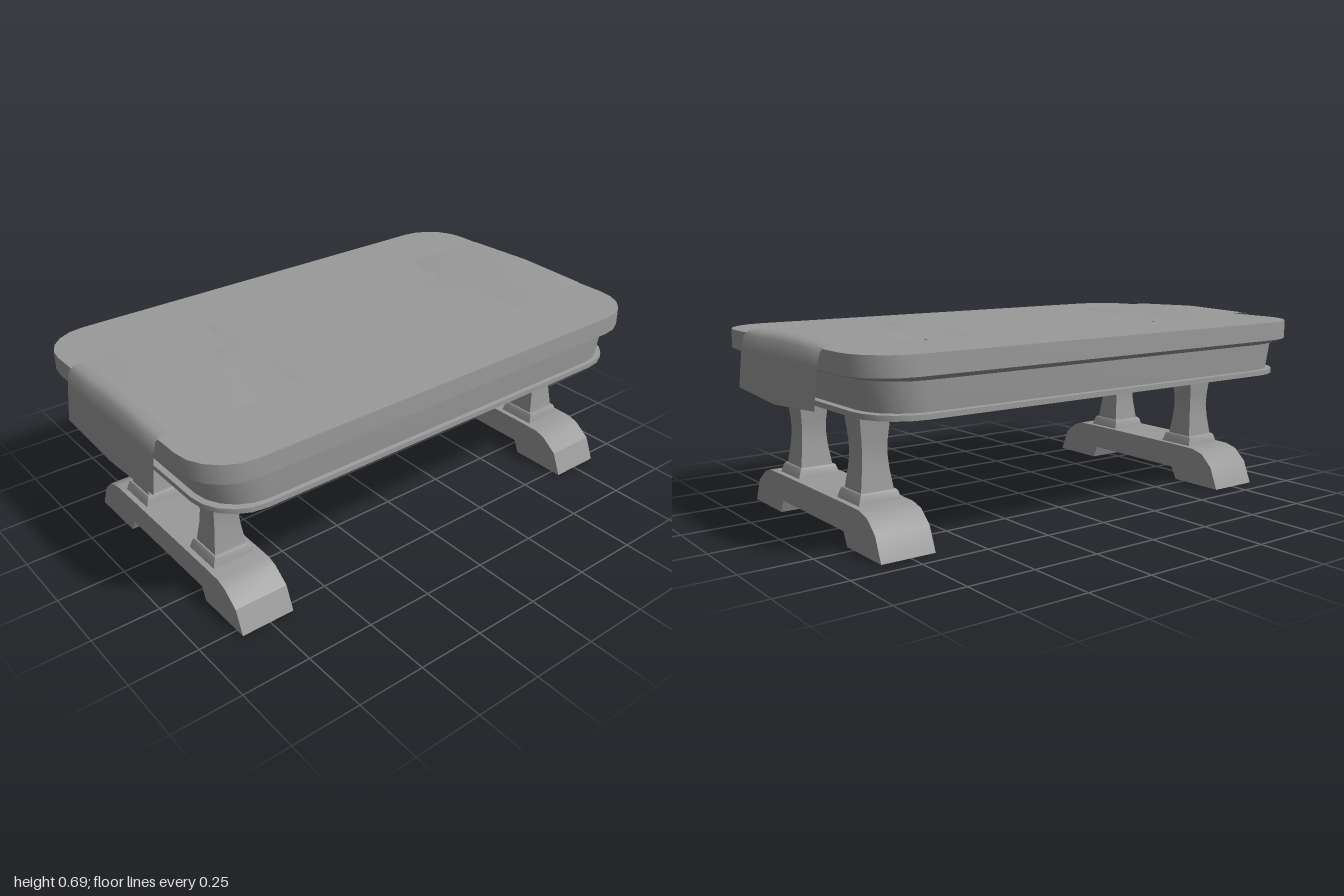
import * as THREE from 'three';
import { toCreasedNormals } from 'three/addons/utils/BufferGeometryUtils.js';

const solid = new THREE.MeshStandardMaterial({ color: 0x9a9a9a });
const thin = new THREE.MeshStandardMaterial({ color: 0x9a9a9a, side: THREE.DoubleSide });

// Grid surface through rows of equally many points
function sheet(rows, crease = 0.5) {
  const n = rows[0].length, index = [];
  for (let i = 0; i < rows.length - 1; i++)
    for (let j = 0; j < n - 1; j++) {
      const a = i * n + j, c = a + n;
      index.push(a, a + 1, c, a + 1, c + 1, c);
    }
  const g = new THREE.BufferGeometry();
  g.setAttribute('position', new THREE.Float32BufferAttribute(rows.flat(2), 3));
  g.setIndex(index);
  return toCreasedNormals(g, crease);
}

// Closed rectangular outline at height y; seg > 0 rounds the corners
function outline(hx, hz, y, seg) {
  const r = seg ? 0.31 * hz : 0, pts = [];
  for (let q = 0; q < 4; q++) {
    const sx = q === 0 || q === 3 ? 1 : -1, sz = q < 2 ? 1 : -1;
    for (let k = 0; k <= seg; k++) {
      const t = (q + (seg ? k / seg : 0)) * Math.PI / 2;
      pts.push([sx * (hx - r) + r * Math.cos(t), y, sz * (hz - r) + r * Math.sin(t)]);
    }
  }
  pts.push(pts[0]);
  return pts;
}

// Rings are [halfX, halfZ, y], listed from the top down
const loft = (rings, seg = 0) => sheet(rings.map(([hx, hz, y]) => outline(hx, hz, y, seg)));

function add(parent, name, geometry, material = solid) {
  const m = new THREE.Mesh(geometry, material);
  m.name = name;
  parent.add(m);
  return m;
}

// Foot with an arched, open underside; profile points are [z, y]
function makeFoot() {
  const foot = new THREE.Group();
  foot.name = 'foot';
  const hw = 0.1;
  const upper = [[0.535, 0], [0.5, 0.085], [0.44, 0.13], [0.4, 0.143], [0.3, 0.145], [-0.2, 0.145],
    [-0.295, 0.143], [-0.345, 0.13], [-0.395, 0.085], [-0.43, 0]];
  const back = [[-0.205, 0], [-0.18, 0.048]], front = [[0.29, 0.048], [0.31, 0]];
  const skins = { footTop: upper, footBackHeel: back, footFrontHeel: front };
  for (const [name, path] of Object.entries(skins))
    add(foot, name, sheet(path.map(([z, y]) => [[hw, y, z], [-hw, y, z]])), thin);
  const shape = new THREE.Shape([...upper, ...back, ...front].map(p => new THREE.Vector2(...p)));
  for (const s of [-1, 1])
    add(foot, 'footSide', new THREE.ShapeGeometry(shape).rotateY(-Math.PI / 2), thin).position.x = s * hw;
  return foot;
}

// Waisted square post on a stepped plinth
function makeLeg() {
  const leg = new THREE.Group();
  leg.name = 'leg';
  add(leg, 'plinth', loft([[0.002, 0.002, 0.18], [0.066, 0.066, 0.18], [0.07, 0.07, 0.174], [0.08, 0.076, 0.145]]));
  add(leg, 'post', loft([[0.061, 0.057, 0.468], [0.056, 0.053, 0.42], [0.048, 0.046, 0.345],
    [0.047, 0.044, 0.3], [0.051, 0.048, 0.25], [0.061, 0.057, 0.18]]), thin);
  return leg;
}

export function createModel() {
  const model = new THREE.Group();
  model.name = 'table';

  // Rounded top slab with a bevel below, open underneath
  add(model, 'tableTop', loft([[0.0002, 0.0001, 0.67], [0.967, 0.574, 0.67], [0.967, 0.574, 0.602],
    [0.955, 0.565, 0.596], [0.912, 0.545, 0.585]], 5), thin);

  // Hollow apron ending in a small bottom ledge
  add(model, 'apron', loft([[0.912, 0.545, 0.585], [0.898, 0.537, 0.486], [0.918, 0.552, 0.484],
    [0.918, 0.552, 0.466], [0.897, 0.535, 0.466]], 5), thin);

  // Trestles: each has one foot and two legs
  for (const s of [-1, 1]) {
    const trestle = new THREE.Group();
    trestle.name = s > 0 ? 'leftTrestle' : 'rightTrestle';
    trestle.position.x = s * 0.757;
    trestle.add(makeFoot());
    for (const z of [0.267, -0.18]) {
      const leg = makeLeg();
      leg.position.z = z;
      trestle.add(leg);
    }
    model.add(trestle);
  }

  // Cloth runner: stations [x, y at the hem, y at the middle], mirrored in x
  const half = [[0.16, 0.671, 0.671], [0.38, 0.674, 0.674], [0.42, 0.674, 0.674], [0.45, 0.662, 0.674],
    [0.57, 0.662, 0.675], [0.6, 0.675, 0.677], [0.8, 0.679, 0.686], [0.92, 0.682, 0.691],
    [0.955, 0.678, 0.687], [0.975, 0.662, 0.669], [0.986, 0.615, 0.618], [0.993, 0.55, 0.54], [1, 0.48, 0.46]];
  const stations = [...half.map(([x, e, m]) => [-x, e, m]).reverse(), ...half];
  const across = [-1, -0.5, 0, 0.5, 1];
  add(model, 'runner', sheet(stations.map(([x, e, m]) =>
    across.map(t => [x, m + (e - m) * Math.abs(t), 0.296 * t])), 1.2), thin);

  return model;
}
